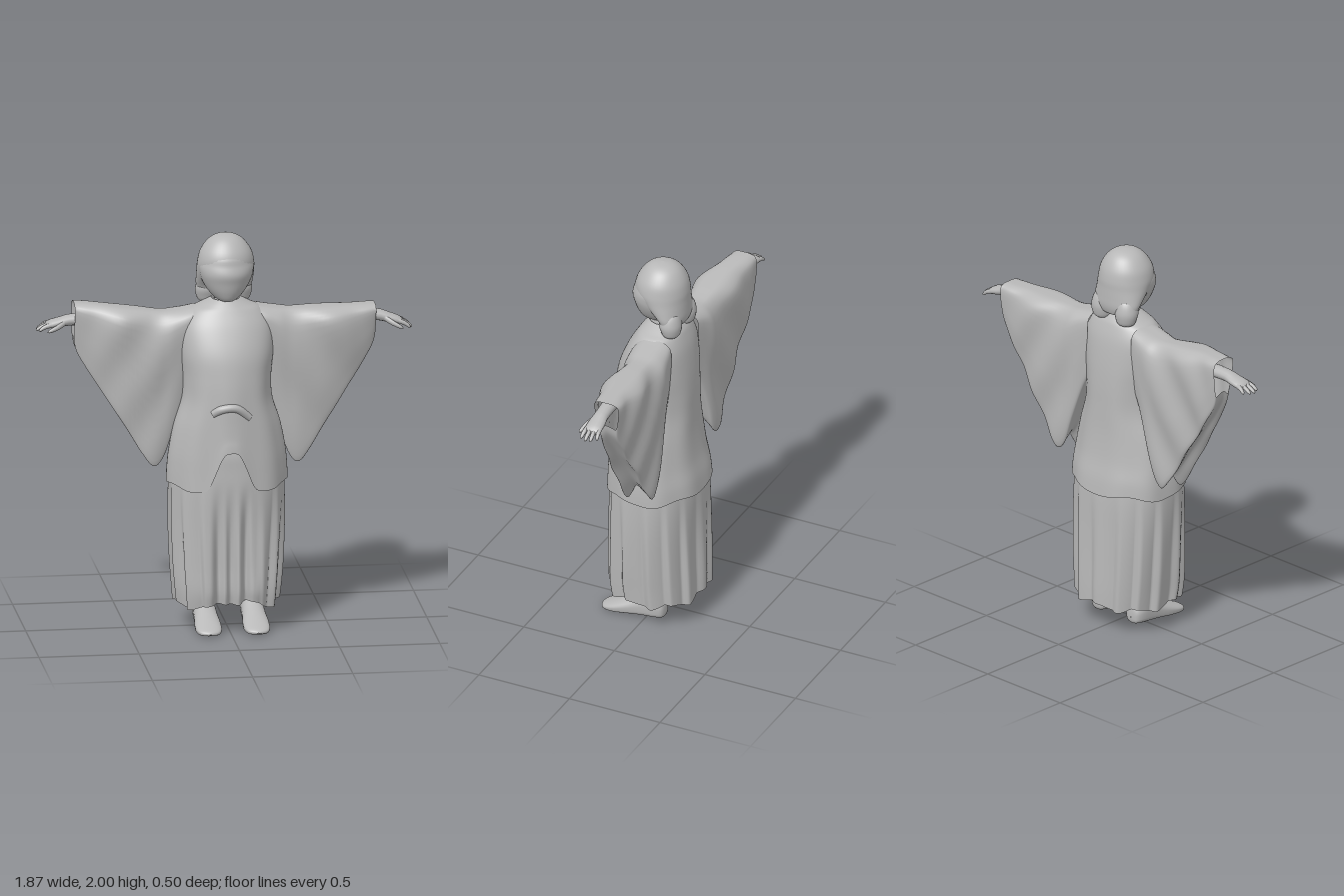
import * as THREE from 'three';

const fabric = new THREE.MeshStandardMaterial({ color: 0xb8b8b8, side: THREE.DoubleSide });
fabric.name = 'plain grey';
const TAU = Math.PI * 2;
const smooth = THREE.MathUtils.smoothstep;

// Smooth interpolation down the columns of a small profile table
function profile(rows) {
  const cols = rows[0].map((_, c) =>
    new THREE.SplineCurve(rows.map((r, i) => new THREE.Vector2(i, r[c]))));
  return t => cols.map(c => c.getPoint(t).y);
}

// Skin of closed rings; point(t, a) gives [x, y, z]; always wound outwards
function loft(nt, na, point) {
  const pos = [], idx = [];
  for (let i = 0; i <= nt; i++)
    for (let j = 0; j < na; j++) pos.push(...point(i / nt, (j / na) * TAU));
  for (let i = 0; i < nt; i++)
    for (let j = 0; j < na; j++) {
      const a = i * na + j, b = i * na + (j + 1) % na;
      idx.push(a, b, a + na, b, b + na, a + na);
    }
  const g = new THREE.BufferGeometry();
  g.setAttribute('position', new THREE.Float32BufferAttribute(pos, 3));
  g.computeBoundingBox();
  const mid = g.boundingBox.getCenter(new THREE.Vector3());
  const v = i => new THREE.Vector3().fromArray(pos, i * 3).sub(mid);
  let volume = 0;
  for (let i = 0; i < idx.length; i += 3)
    volume += v(idx[i]).dot(v(idx[i + 1]).cross(v(idx[i + 2])));
  g.setIndex(volume < 0 ? idx.reverse() : idx);
  g.computeVertexNormals();
  return g;
}

// Upright form from rows of [y, half width, front z, back z]
function upright(rows, nt, na, cx = 0, power = 1, adjust = p => p) {
  const at = profile(rows);
  return loft(nt, na, (t, a) => {
    const [y, rx, zf, zb] = at(t);
    const bend = v => Math.sign(v) * Math.abs(v) ** power;
    const p = [cx + rx * bend(Math.cos(a)), y, (zf + zb) / 2 + (zf - zb) / 2 * bend(Math.sin(a))];
    return adjust(p, t, a);
  });
}

// Limb along local x from rows of [x, y, z, radius y, radius z]
function limb(rows, nt = 14, na = 14) {
  const at = profile(rows);
  return loft(nt, na, (t, a) => {
    const [x, y, z, ry, rz] = at(t);
    return [x, y + ry * Math.sin(a), z + rz * Math.cos(a)];
  });
}

function sleeve(s) {
  // Stations of [x, top, bottom, front z, back z]
  const at = profile([
    [0.15, 1.63, 1.3, 0.045, -0.14], [0.2, 1.62, 1.2, 0.055, -0.15], [0.26, 1.61, 1.02, 0.055, -0.16],
    [0.31, 1.603, 0.87, 0.05, -0.16], [0.36, 1.603, 0.82, 0.05, -0.16], [0.42, 1.605, 0.89, 0.05, -0.16],
    [0.51, 1.605, 1.04, 0.048, -0.16], [0.6, 1.605, 1.18, 0.033, -0.155], [0.68, 1.605, 1.305, 0.01, -0.15],
    [0.735, 1.605, 1.4, -0.008, -0.145], [0.75, 1.605, 1.46, -0.012, -0.145],
  ]);
  // Cross-section of [depth, height]: rounded top and two hanging panels
  const ring = new THREE.CatmullRomCurve3([
    [0, 1], [0.7, 0.97], [1, 0.86], [0.85, 0.5], [0.65, 0.2], [0.48, 0.01], [0.34, 0.02], [0, 0.11],
    [-0.55, 0.06], [-0.82, 0.045], [-0.93, 0.25], [-1, 0.5], [-1, 0.86], [-0.7, 0.97],
  ].map(([w, h]) => new THREE.Vector3(w, h, 0)), true);
  return loft(44, 56, (t, a) => {
    const [x, top, bottom, zf, zb] = at(t);
    const q = ring.getPoint(a / TAU);
    const rise = s < 0 ? 0.05 * smooth(x, 0.2, 0.75) : 0;
    const back = s < 0 ? 0.02 * smooth(x, 0.5, 0.75) : 0;
    const y = bottom + (top - bottom) * q.y;
    const fold = 0.01 * Math.sin((x * 0.8 + y * 0.55) * 26) * smooth(x, 0.2, 0.35) * (1 - smooth(x, 0.6, 0.75));
    return [s * x, y + rise * q.y, (zf + zb) / 2 + q.x * (zf - zb) / 2 + fold * q.x - back];
  });
}

export function createModel() {
  const model = new THREE.Group();
  const add = (name, geometry, parent = model) => {
    const m = new THREE.Mesh(geometry, fabric);
    m.name = name;
    parent.add(m);
    return m;
  };

  // Face with a gently pointed chin
  add('face', upright([
    [1.93, 0.001, 0.01, 0], [1.91, 0.1, 0.1, -0.1], [1.86, 0.134, 0.12, -0.14], [1.815, 0.134, 0.132, -0.14],
    [1.77, 0.121, 0.122, -0.13], [1.72, 0.092, 0.109, -0.11], [1.68, 0.052, 0.088, -0.07],
    [1.665, 0.001, 0.05, 0.045],
  ], 36, 40));
  add('neck', upright([[1.74, 0.055, 0.045, -0.085], [1.67, 0.055, 0.04, -0.09], [1.6, 0.08, 0.06, -0.1]], 8, 24));

  // Hair: one smooth cap running back from the brow, ending in two short locks
  add('hair', upright([
    [2, 0.001, -0.02, -0.025], [1.992, 0.05, 0.03, -0.075], [1.965, 0.092, 0.069, -0.115],
    [1.915, 0.127, 0.104, -0.145], [1.86, 0.141, 0.113, -0.157], [1.815, 0.143, 0.08, -0.158],
    [1.77, 0.143, 0.03, -0.159], [1.73, 0.14, -0.015, -0.159], [1.7, 0.127, -0.035, -0.153],
    [1.68, 0.09, -0.05, -0.14], [1.675, 0.001, -0.09, -0.095],
  ], 44, 40));
  for (const s of [-1, 1]) {
    add(s < 0 ? 'rightHairLock' : 'leftHairLock', upright([
      [1.78, 0.001, -0.09, -0.095], [1.76, 0.04, -0.06, -0.14], [1.71, 0.06, -0.045, -0.158],
      [1.67, 0.057, -0.055, -0.156], [1.64, 0.042, -0.07, -0.144], [1.626, 0.001, -0.105, -0.11],
    ], 24, 22, s * 0.081));
  }

  // Jacket, its front hem parting over the skirt
  add('jacket', upright([
    [1.672, 0.07, 0.042, -0.105], [1.645, 0.125, 0.068, -0.13], [1.615, 0.18, 0.09, -0.147],
    [1.54, 0.225, 0.135, -0.17], [1.42, 0.232, 0.185, -0.186], [1.3, 0.22, 0.208, -0.194],
    [1.18, 0.223, 0.22, -0.197], [1.05, 0.262, 0.224, -0.202], [0.92, 0.288, 0.228, -0.215],
    [0.82, 0.298, 0.232, -0.235], [0.745, 0.3, 0.236, -0.244],
  ], 48, 144, 0, 0.92, ([x, y, z], t, a) => {
    const gap = Math.sin(a) > 0 ? 1 - smooth(Math.abs(x), 0.02, 0.135) : 0;
    const wave = 0.012 * Math.sin(a * 5) * smooth(t, 0.8, 1);
    const fold = 1 + 0.012 * Math.sin(a * 9) * smooth(t, 0.3, 0.7);
    return [x * fold, y + wave + gap * 0.18 * smooth(t, 0.6, 1), z * fold];
  }));

  // Belt knot pushing through the front
  add('beltKnot', new THREE.TubeGeometry(new THREE.CatmullRomCurve3([
    new THREE.Vector3(-0.09, 1.135, 0.195), new THREE.Vector3(-0.05, 1.16, 0.215),
    new THREE.Vector3(0.02, 1.165, 0.219), new THREE.Vector3(0.09, 1.11, 0.195),
  ]), 20, 0.021, 10));

  // Pleated skirt with deeper folds between the legs
  add('skirt', upright([
    [1.02, 0.24, 0.2, -0.18], [0.92, 0.268, 0.218, -0.195], [0.84, 0.28, 0.221, -0.215],
    [0.72, 0.288, 0.226, -0.229], [0.55, 0.29, 0.231, -0.237], [0.35, 0.283, 0.241, -0.245],
    [0.22, 0.273, 0.246, -0.249], [0.135, 0.265, 0.234, -0.249],
  ], 32, 240, 0, 0.86, ([x, y, z], t, a) => {
    const front = Math.max(0, Math.sin(a));
    const saw = (a / TAU * 14 + 0.25) % 1;
    const pleat = Math.max(0, 1 - saw / 0.65) + Math.max(0, (saw - 0.75) / 0.25);
    const inset = 1 - 0.09 * pleat * smooth(t, 0.3, 0.75);
    const centre = front * (1 - smooth(Math.abs(x - 0.02), 0.06, 0.16)) * smooth(t, 0.35, 0.75);
    const groove = centre * (0.03 + 0.025 * Math.cos(x * 85));
    const hem = smooth(t, 0.8, 1) * (0.03 * centre + 0.012 * Math.sin(a * 7));
    return [x * inset, y + hem, z * inset - groove];
  }));

  for (const s of [-1, 1]) {
    const side = s < 0 ? 'right' : 'left';
    add(side + 'Sleeve', sleeve(s));

    // Forearm and hand
    const hand = new THREE.Group();
    hand.name = side + 'Hand';
    hand.position.set(s * 0.765, s < 0 ? 1.567 : 1.545, s < 0 ? -0.085 : -0.065);
    hand.rotation.z = s < 0 ? 0.17 : -0.28;
    model.add(hand);
    add(side + 'Palm', limb([
      [-0.2, -0.045, -0.005, 0.035, 0.042], [-0.1, -0.018, 0, 0.033, 0.04], [0, 0, 0, 0.029, 0.036],
      [0.05, 0, 0, 0.025, 0.042], [0.1, 0, 0, 0.02, 0.045], [0.125, -0.003, 0, 0.012, 0.038],
      [0.132, -0.004, 0, 0.001, 0.001],
    ].map(([x, ...r]) => [s * x, ...r])), hand);
    [-0.033, -0.011, 0.011, 0.033].forEach((z, i) => {
      const len = [0.055, 0.075, 0.08, 0.068][i];
      add(side + 'Finger', limb([
        [0.1, 0, z, 0.012, 0.011], [0.1 + len * 0.5, -0.002, z * 1.1, 0.011, 0.0105],
        [0.1 + len * 0.9, -0.012, z * 1.2, 0.008, 0.008], [0.1 + len, -0.015, z * 1.2, 0.001, 0.001],
      ].map(([x, ...r]) => [s * x, ...r]), 8, 10), hand);
    });
    add(side + 'Thumb', limb([
      [0.03, -0.002, 0.025, 0.014, 0.014], [0.07, -0.012, 0.05, 0.013, 0.012],
      [0.115, -0.02, 0.065, 0.009, 0.009], [0.13, -0.022, 0.068, 0.001, 0.001],
    ].map(([x, ...r]) => [s * x, ...r]), 8, 10), hand);

    // Leg and shoe; shoe rows are [z, half width, top, bottom]
    const cx = s < 0 ? -0.11 : 0.13;
    add(side + 'Leg', upright([
      [0.5, 0.075, 0.05, -0.11], [0.3, 0.064, 0.04, -0.1], [0.15, 0.054, 0.033, -0.094], [0.06, 0.047, 0.02, -0.087],
    ], 12, 20, cx));
    const shoe = profile([
      [-0.102, 0.001, 0.06, 0.055], [-0.095, 0.036, 0.11, 0.026], [-0.06, 0.053, 0.14, 0.018],
      [0, 0.056, 0.142, 0.013], [0.06, 0.059, 0.112, 0.009], [0.13, 0.065, 0.078, 0.003],
      [0.19, 0.063, 0.05, 0.002], [0.23, 0.044, 0.032, 0.005], [0.246, 0.001, 0.018, 0.015],
    ]);
    add(side + 'Shoe', loft(28, 28, (t, a) => {
      const [z, w, top, bottom] = shoe(t);
      const sy = Math.sin(a), h = sy < 0 ? -Math.sqrt(-sy) : sy;
      return [cx + w * Math.cos(a), (top + bottom) / 2 + h * (top - bottom) / 2, z];
    }));
  }
  return model;
}
